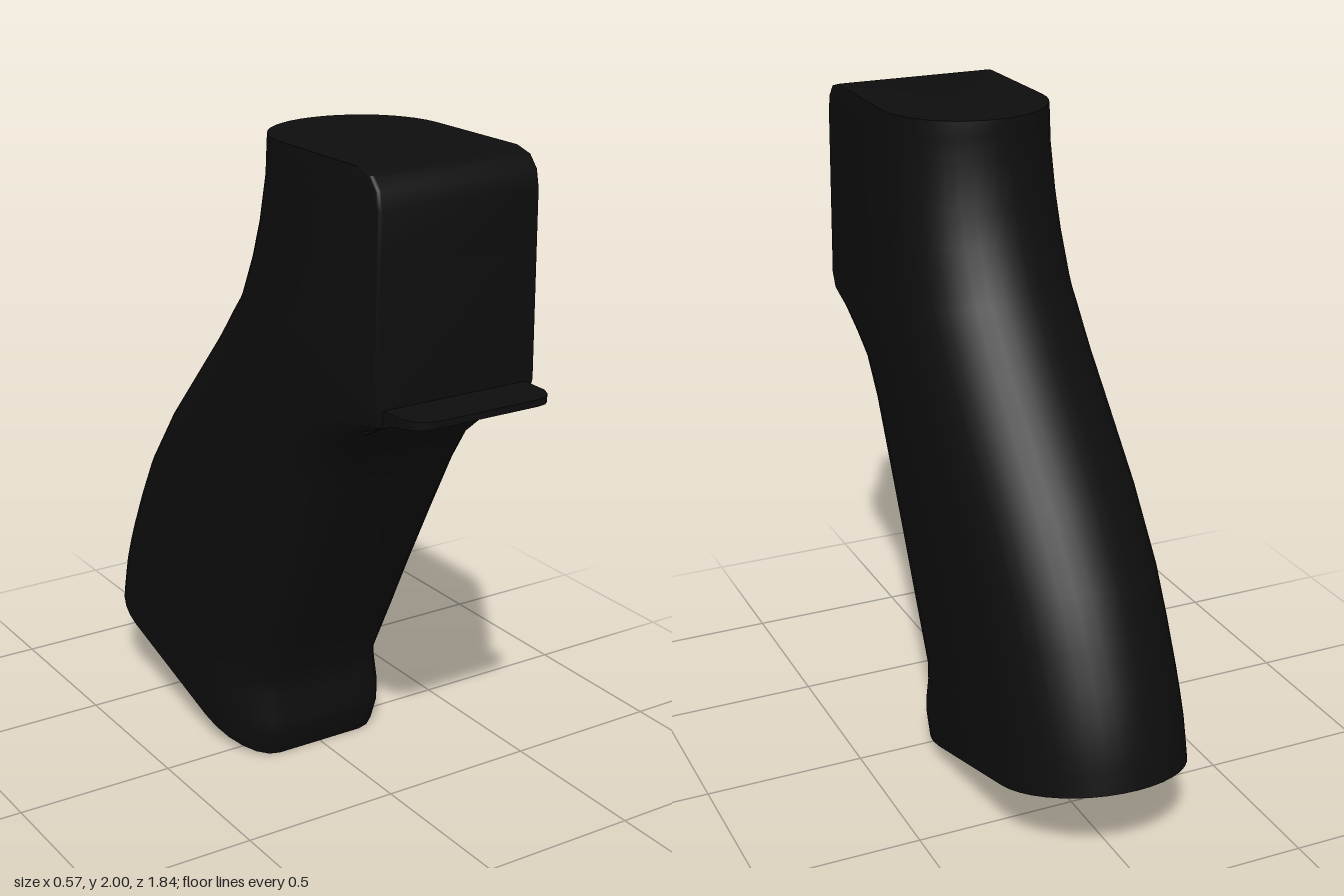
import * as THREE from 'three';
import { toCreasedNormals } from 'three/addons/utils/BufferGeometryUtils.js';

// Skin a list of closed rings of [x, y, z]; both ends are capped.
function loft(rings, crease) {
  const pos = [];
  const tri = (a, b, c) => pos.push(...a, ...b, ...c);
  const n = rings[0].length;
  const centre = (ring) => [0, 1, 2].map((k) => ring.reduce((s, p) => s + p[k], 0) / n);
  const first = rings[0], last = rings[rings.length - 1];
  const c0 = centre(first), c1 = centre(last);
  for (let i = 0; i < n; i++) {
    const j = (i + 1) % n;
    for (let r = 0; r < rings.length - 1; r++) {
      const a = rings[r], b = rings[r + 1];
      tri(a[i], b[i], a[j]);
      tri(a[j], b[i], b[j]);
    }
    tri(c0, first[i], first[j]);
    tri(c1, last[j], last[i]);
  }
  const geo = new THREE.BufferGeometry();
  geo.setAttribute('position', new THREE.Float32BufferAttribute(pos, 3));
  return toCreasedNormals(geo, crease);
}

// Section between a front and a back point: elliptical back, rounded front corners.
function section([fz, fy, bz, by, w, wf, cx, cd, rear], wall = 0) {
  const len = Math.hypot(fz - bz, fy - by);
  const half = [];
  const back = rear - wall, wide = w - wall, front = wf - wall;
  for (let i = 0; i <= 10; i++) {
    const a = (i / 10) * Math.PI / 2;
    half.push([wide * Math.sin(a), wall + back * (1 - Math.cos(a))]);
  }
  for (let i = 0; i <= 6; i++) {
    const a = (i / 6) * Math.PI / 2;
    half.push([front - cx * (1 - Math.cos(a)), len - wall - cd * (1 - Math.sin(a))]);
  }
  const mirrored = half.slice(1).reverse().map(([x, u]) => [-x, u]);
  return [...half, ...mirrored].map(([x, u]) => {
    const t = u / len;
    return [x, by + (fy - by) * t, bz + (fz - bz) * t];
  });
}

export function createModel() {
  const model = new THREE.Group();
  const black = new THREE.MeshStandardMaterial({ color: 0x0d0d0d });
  black.name = 'matteBlack';
  const add = (name, geo) => {
    const mesh = new THREE.Mesh(geo, black);
    mesh.name = name;
    model.add(mesh);
    return mesh;
  };

  // front z, front y, back z, back y
  const spine = [
    [0.10, 0, -0.92, 0.285], [0.13, 0.08, -0.905, 0.35], [0.13, 0.12, -0.89, 0.41],
    [0.11, 0.2, -0.86, 0.49], [0.11, 0.26, -0.83, 0.56], [0.2, 0.44, -0.77, 0.68],
    [0.3, 0.645, -0.7, 0.8], [0.405, 0.85, -0.55, 1.0], [0.505, 1.04, -0.37, 1.2],
    [0.56, 1.15, -0.25, 1.335], [0.62, 1.21, -0.2, 1.395], [0.7, 1.27, -0.155, 1.45],
    [0.775, 1.31, -0.12, 1.49], [0.775, 1.36, -0.1, 1.52], [0.775, 1.6, -0.04, 1.63],
    [0.775, 1.75, 0, 1.735], [0.775, 1.9, 0.035, 1.88], [0.765, 1.95, 0.04, 1.95],
    [0.735, 1.985, 0.043, 1.985], [0.68, 2, 0.045, 2],
  ];
  const stations = spine.map((s, i) => {
    const up = THREE.MathUtils.clamp((s[1] - 1.2) / 0.8, 0, 1);
    const square = THREE.MathUtils.clamp((i - 8) / 5, 0, 1);
    return [...s,
      THREE.MathUtils.lerp(0.285, 0.262, up),
      THREE.MathUtils.lerp(0.285, 0.27, square) - 0.009 * up,
      THREE.MathUtils.lerp(0.135, 0.012, square),
      THREE.MathUtils.lerp(0.25, 0.012, square),
      THREE.MathUtils.lerp(0.32, 0.25, up)];
  });

  // Hollow grip: up the cavity wall, across the rim and over the outside
  const cavity = stations.slice(0, 9).reverse().map((s) => section(s, 0.035));
  add('gripBody', loft([...cavity, ...stations.map((s) => section(s))], 0.6));

  // Thin tongue jutting from the front; z, half width, underside y
  const lip = [
    [0.7, 0.25, 1.27], [0.775, 0.24, 1.31], [0.81, 0.235, 1.325], [0.86, 0.235, 1.333],
    [0.89, 0.222, 1.336], [0.91, 0.2, 1.338], [0.92, 0.17, 1.34],
  ];
  add('frontLip', loft(lip.map(([z, w, y]) => [
    [w, 1.36, z], [w, y, z], [-w, y, z], [-w, 1.36, z],
  ]), 0.6));

  // Small ribs across the front wall of the cavity
  for (let i = 0; i < 5; i++) {
    const y = 0.4 + i * 0.1;
    const rib = add('cavityRib', new THREE.BoxGeometry(0.3, 0.025, 0.05));
    rib.position.set(0, y, 0.11 + 0.505 * (y - 0.26) - 0.04);
    rib.rotation.x = 0.47;
  }
  return model;
}
